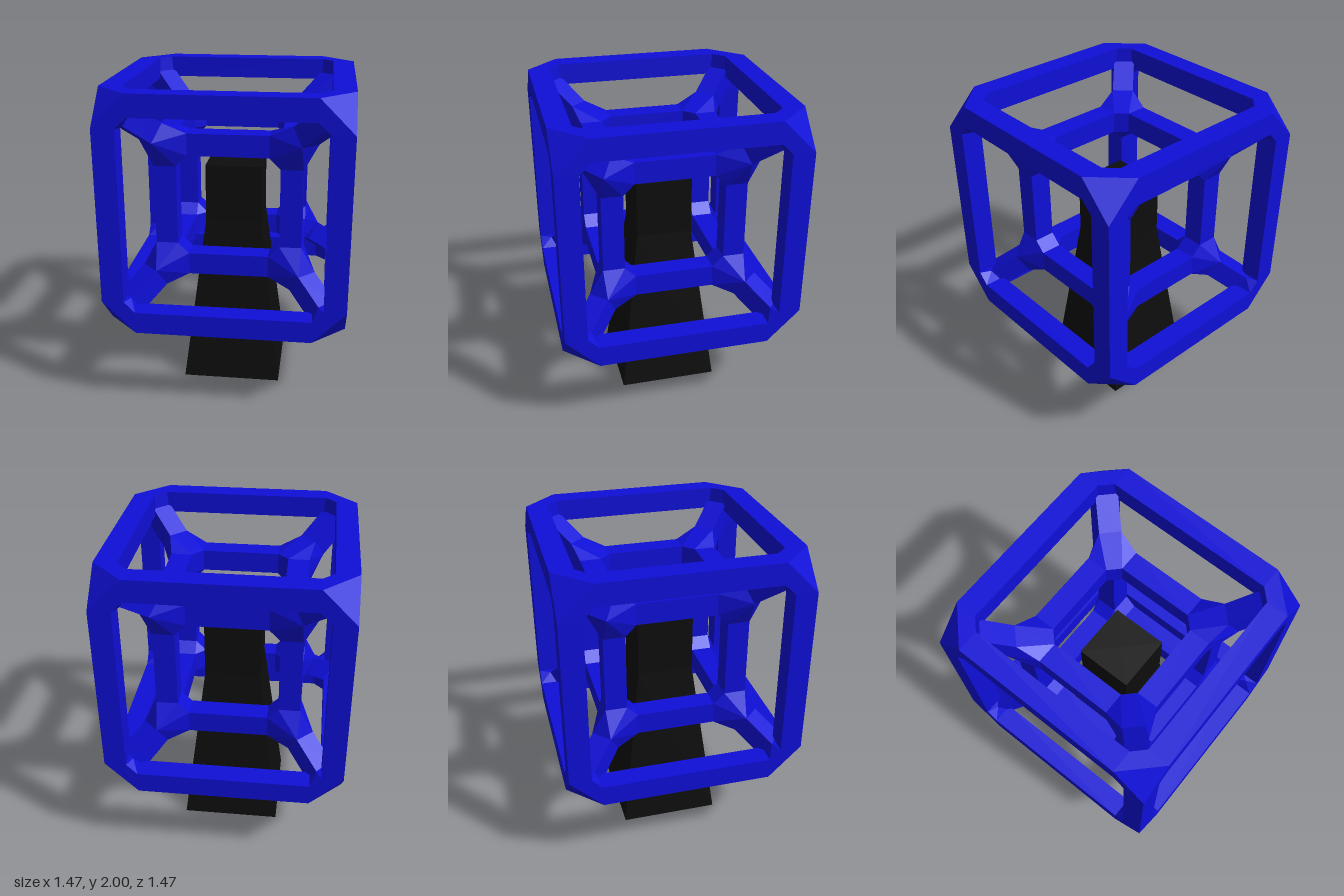
import * as THREE from 'three';
import { ConvexGeometry } from 'three/addons/geometries/ConvexGeometry.js';

const T = 0.135;             // bar thickness
const CENTRE_Y = 1.267;      // height of the cage centre
const INNER = 0.38, OUTER = 0.665; // half-spacing of the bar centre lines
const V = (x, y, z) => new THREE.Vector3(x, y, z);

// Four corners of a square bar end, spanned by unit vectors u and v
function squareEnd(centre, u, v) {
  const pts = [];
  for (const a of [-1, 1]) for (const b of [-1, 1]) {
    pts.push(centre.clone().addScaledVector(u, a * T / 2).addScaledVector(v, b * T / 2));
  }
  return pts;
}

export function createModel() {
  const model = new THREE.Group();
  const blue = new THREE.MeshStandardMaterial({ color: 0x0f0fd8, flatShading: true });
  const black = new THREE.MeshStandardMaterial({ color: 0x0d0d0d, flatShading: true });

  const cage = new THREE.Group();
  cage.name = 'nestedCubeCage';
  cage.position.y = CENTRE_Y;
  model.add(cage);

  const axes = [V(1, 0, 0), V(0, 1, 0), V(0, 0, 1)];
  const add = (name, geometry) => {
    const mesh = new THREE.Mesh(geometry, blue);
    mesh.name = name;
    cage.add(mesh);
  };

  // Straight bars of both cubes
  for (const [name, h] of [['innerBar', INNER], ['outerBar', OUTER]]) {
    for (let i = 0; i < 3; i++) for (const a of [-1, 1]) for (const b of [-1, 1]) {
      const size = [T, T, T], pos = [0, 0, 0];
      size[i] = 2 * (h - T);
      pos[(i + 1) % 3] = a * h;
      pos[(i + 2) % 3] = b * h;
      add(name, new THREE.BoxGeometry(...size).translate(...pos));
    }
  }

  // Corners: faceted joints wrapped round the bar ends, and diagonal struts
  for (const sx of [-1, 1]) for (const sy of [-1, 1]) for (const sz of [-1, 1]) {
    const corner = V(sx, sy, sz);
    const diagonal = corner.clone().normalize();
    const u = V(sz, 0, -sx).normalize();
    const v = diagonal.clone().cross(u);

    const strutEnds = [[INNER, 1], [OUTER, -1]].map(([h, dir]) =>
      squareEnd(corner.clone().multiplyScalar(h).addScaledVector(diagonal, dir * T), u, v));
    add('diagonalStrut', new ConvexGeometry(strutEnds.flat()));

    [['innerJoint', INNER], ['outerJoint', OUTER]].forEach(([name, h], k) => {
      const pts = [...strutEnds[k]];
      axes.forEach((axis, i) => {
        const c = corner.clone().multiplyScalar(h);
        c.addScaledVector(axis, -corner.getComponent(i) * T);
        pts.push(...squareEnd(c, axes[(i + 1) % 3], axes[(i + 2) % 3]));
      });
      add(name, new ConvexGeometry(pts));
    });
  }

  // Square pedestal: tapered below, straight above
  const r = Math.SQRT2;
  const profile = [[0, 0], [0.315, 0], [0.178, 1.08], [0.178, 1.445], [0, 1.445]]
    .map(([x, y]) => new THREE.Vector2(x * r, y));
  const pedestal = new THREE.Mesh(new THREE.LatheGeometry(profile, 4, Math.PI / 4), black);
  pedestal.name = 'pedestal';
  model.add(pedestal);

  return model;
}
